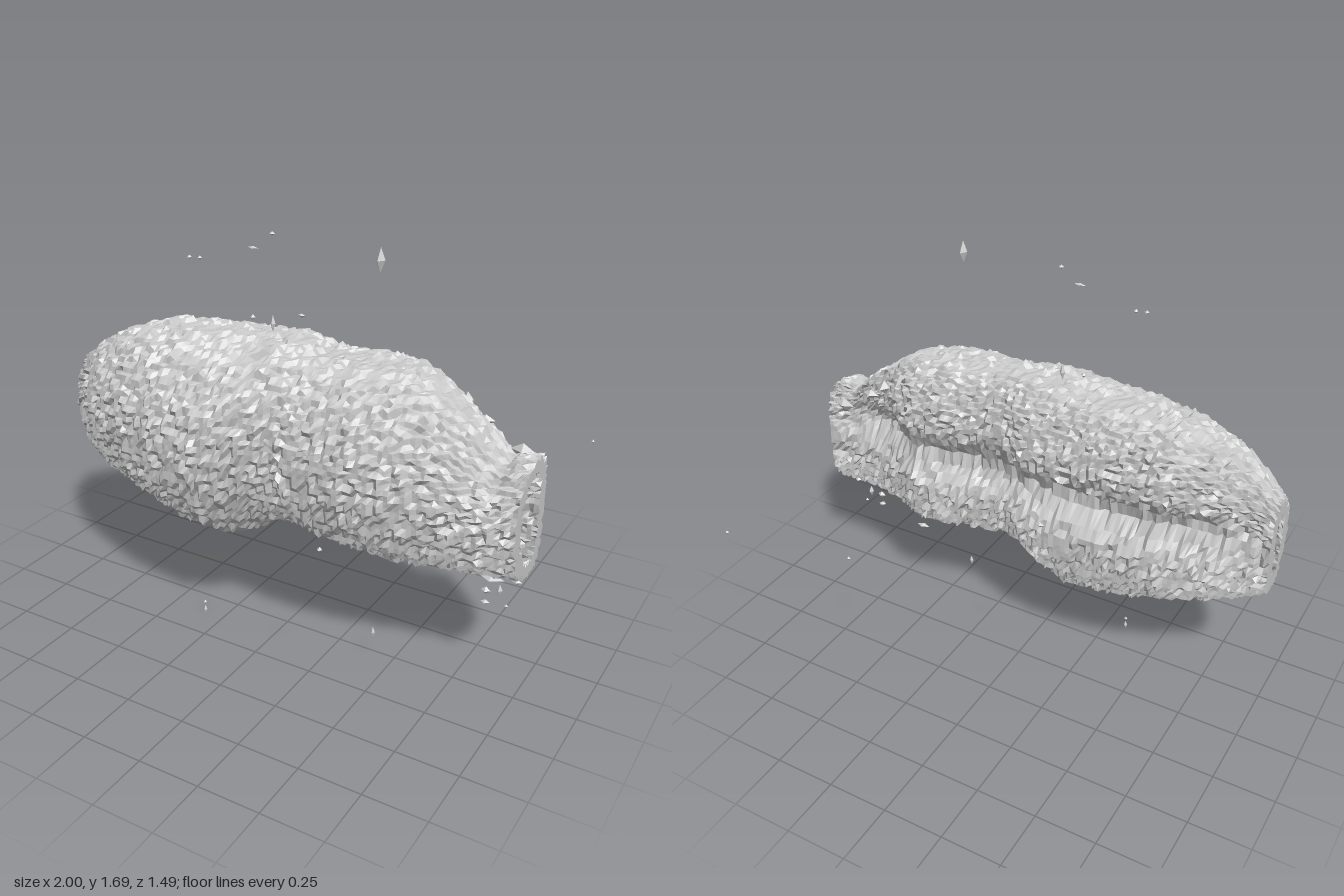
import * as THREE from 'three';

// Stations along the body: x, bottom y, top y, front z, back z
const STATIONS = [
  [-1, 0.61, 1.0, 0.31, 0.12], [-0.9, 0.56, 1.08, 0.4, 0.09], [-0.8, 0.53, 1.14, 0.47, 0.03],
  [-0.6, 0.48, 1.21, 0.55, -0.04], [-0.4, 0.43, 1.23, 0.61, -0.05], [-0.2, 0.41, 1.24, 0.63, -0.05],
  [-0.1, 0.45, 1.25, 0.61, -0.05], [0, 0.52, 1.26, 0.58, -0.04], [0.1, 0.54, 1.25, 0.56, 0],
  [0.2, 0.52, 1.23, 0.57, 0], [0.4, 0.5, 1.24, 0.57, -0.04], [0.5, 0.49, 1.23, 0.55, -0.04],
  [0.6, 0.49, 1.2, 0.52, 0.02], [0.7, 0.5, 1.14, 0.48, 0.08], [0.8, 0.51, 1.07, 0.45, 0.1],
  [0.9, 0.52, 0.98, 0.41, 0.1], [1, 0.52, 0.99, 0.38, 0.09],
];
const WALL = 0.055;
const CELL = 0.022;

function hash(a, b, c) {
  const s = Math.sin(a * 127.1 + b * 311.7 + c * 74.7) * 43758.5453;
  return s - Math.floor(s);
}

function stationAt(x) {
  let i = 0;
  while (i < STATIONS.length - 2 && STATIONS[i + 1][0] < x) i++;
  const a = STATIONS[i], b = STATIONS[i + 1];
  const t = (x - a[0]) / (b[0] - a[0]);
  return a.map((v, k) => v + (b[k] - v) * t);
}

// Round towards the front, flatter at the back, with a lengthwise groove behind
function sectionPoint(x, angle, inset) {
  const [, bottom, top, front, back] = stationAt(x);
  const midY = (bottom + top) / 2 + 0.03, midZ = 0.21;
  const c = Math.cos(angle), s = Math.sin(angle);
  const power = c < 0 ? 2 / 3 : 1;
  const depth = (c < 0 ? midZ - back : front - midZ) - inset;
  const height = (s < 0 ? midY - bottom : top - midY) - inset;
  const y = midY + Math.sign(s) * Math.abs(s) ** power * height;
  let z = midZ + Math.sign(c) * Math.abs(c) ** power * depth;
  if (c < 0) {
    const fade = THREE.MathUtils.clamp((1 - Math.abs(x)) * 4, 0, 1);
    z += 0.08 * fade * Math.exp(-(((y - 0.88) / 0.09) ** 2));
  }
  return [x, y, z];
}

// Outer skin, end rims and inner skin form one closed, rough, stepped surface
function shellGeometry() {
  const along = 110, around = 108;
  const rows = (along + 1) * 2;
  const positions = [], index = [];
  const step = (v) => THREE.MathUtils.lerp(v, Math.round(v / CELL) * CELL, 0.6);
  for (let r = 0; r < rows; r++) {
    const inner = r > along;
    const k = inner ? rows - 1 - r : r;
    const x = -1 + (2 * k) / along;
    for (let j = 0; j < around; j++) {
      const angle = (j / around) * Math.PI * 2;
      const rough = (hash(k, j, inner ? 2 : 1) - 0.5) * 0.026;
      const [, y, z] = sectionPoint(x, angle, (inner ? WALL : 0) + rough);
      positions.push(x, step(y), step(z));
      const a = r * around + j;
      const b = r * around + ((j + 1) % around);
      const next = ((r + 1) % rows) * around;
      const c = next + j, d = next + ((j + 1) % around);
      index.push(a, c, d, a, d, b);
    }
  }
  const geometry = new THREE.BufferGeometry();
  geometry.setAttribute('position', new THREE.Float32BufferAttribute(positions, 3));
  geometry.setIndex(index);
  geometry.computeVertexNormals();
  return geometry;
}

export function createModel() {
  const model = new THREE.Group();
  const material = new THREE.MeshStandardMaterial({
    color: 0xcccccc, flatShading: true, side: THREE.DoubleSide,
  });

  const shell = new THREE.Mesh(shellGeometry(), material);
  shell.name = 'hollowShell';
  model.add(shell);

  // Loose fragments: centre x, y, z and half sizes x, y, z
  const fragments = [
    [0.425, 1.65, 0.32, 0.018, 0.045, 0.025], [-0.015, 1.68, 0.31, 0.012, 0.008, 0.012],
    [-0.09, 1.62, 0.32, 0.024, 0.006, 0.012], [-0.355, 1.555, 0.35, 0.01, 0.008, 0.012],
    [-0.315, 1.555, 0.34, 0.01, 0.008, 0.01], [0.43, 0.14, 0.31, 0.01, 0.024, 0.01],
    [-0.335, 0.025, 0.37, 0.009, 0.02, 0.009], [-0.335, 0.06, 0.37, 0.008, 0.01, 0.008],
    [-0.35, 1.09, -0.455, 0.02, 0.01, 0.008], [0.47, 0.67, -0.5, 0.008, 0.008, 0.008],
    [0.955, 0.71, -0.64, 0.008, 0.008, 0.008], [0.43, 0.73, 0.735, 0.01, 0.01, 0.012],
    [-0.24, 0.93, 0.835, 0.004, 0.004, 0.004], [0.85, 0.37, 0.22, 0.018, 0.008, 0.015],
    [0.93, 0.37, 0.21, 0.008, 0.008, 0.008], [0.85, 0.42, 0.22, 0.02, 0.016, 0.015],
    [0.9, 0.43, 0.21, 0.012, 0.025, 0.015], [0.87, 0.48, 0.22, 0.05, 0.015, 0.03],
    [0.96, 0.48, 0.2, 0.02, 0.012, 0.015], [0.54, 0.43, 0.1, 0.03, 0.01, 0.015],
    [-0.08, 1.3, 0.21, 0.012, 0.035, 0.012], [-0.17, 1.31, 0.21, 0.012, 0.012, 0.01],
    [0.67, 1.1, 0.07, 0.025, 0.03, 0.035], [0.75, 1.04, 0.08, 0.04, 0.02, 0.02],
    [0.9, 0.95, 0.08, 0.05, 0.03, 0.02],
  ];
  const chip = new THREE.OctahedronGeometry(1);
  const loose = new THREE.Group();
  loose.name = 'looseFragments';
  for (const [x, y, z, sx, sy, sz] of fragments) {
    const mesh = new THREE.Mesh(chip, material);
    mesh.name = 'fragment';
    mesh.position.set(x, y, z);
    mesh.scale.set(sx, sy, sz);
    loose.add(mesh);
  }
  model.add(loose);
  return model;
}
